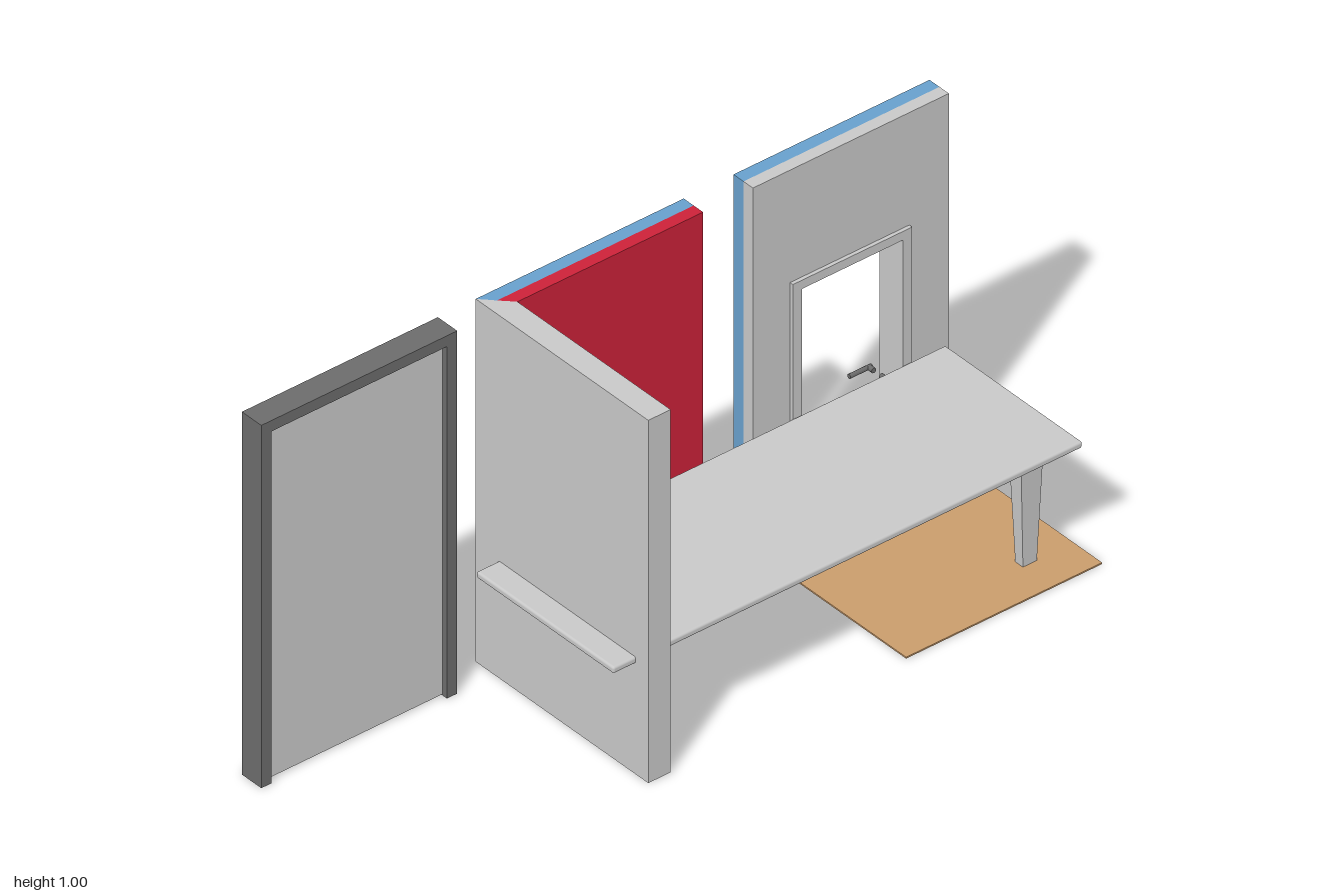
import * as THREE from 'three';
import { RoundedBoxGeometry } from 'three/addons/geometries/RoundedBoxGeometry.js';

const mat = (name, color) => {
  const m = new THREE.MeshStandardMaterial({ color });
  m.name = name;
  return m;
};

export function createModel() {
  const grey = mat('light grey', 0xc8c8c8);
  const dark = mat('dark grey', 0x6c6c6c);
  const red = mat('red paint', 0xcc2239);
  const blue = mat('blue paint', 0x68a0cc);
  const tan = mat('wood floor', 0xc99c6c);

  const model = new THREE.Group();
  const group = (name) => {
    const g = new THREE.Group();
    g.name = name;
    model.add(g);
    return g;
  };
  const add = (parent, name, geometry, material) => {
    const m = new THREE.Mesh(geometry, material);
    m.name = name;
    parent.add(m);
    return m;
  };
  // Box given by its limits on each axis
  const box = (parent, name, material, [x0, x1], [y0, y1], [z0, z1]) => {
    const g = new THREE.BoxGeometry(x1 - x0, y1 - y0, z1 - z0);
    g.translate((x0 + x1) / 2, (y0 + y1) / 2, (z0 + z1) / 2);
    return add(parent, name, g, material);
  };
  const polygon = (points) => new THREE.Shape(points.map(([x, y]) => new THREE.Vector2(x, y)));
  // Full-height wall from a plan outline of [x, z] points
  const planWall = (parent, name, material, points) => {
    const g = new THREE.ExtrudeGeometry(polygon(points.map(([x, z]) => [x, -z])), { depth: 1, bevelEnabled: false });
    g.rotateX(-Math.PI / 2);
    return add(parent, name, g, material);
  };
  // Upright plate with a doorway open at the bottom
  const archPlate = (parent, name, material, outer, inner, [z0, z1]) => {
    const [ox0, ox1, oy] = outer, [ix0, ix1, iy] = inner;
    const s = polygon([[ox0, 0], [ix0, 0], [ix0, iy], [ix1, iy], [ix1, 0], [ox1, 0], [ox1, oy], [ox0, oy]]);
    const g = new THREE.ExtrudeGeometry(s, { depth: z1 - z0, bevelEnabled: false });
    g.translate(0, 0, z0);
    return add(parent, name, g, material);
  };

  const BACK = -0.30, MID = -0.265, FRONT = -0.232;

  // Framed panel
  const panel = group('framedPanel');
  archPlate(panel, 'panelFrame', dark, [-1, -0.43, 1], [-0.97, -0.46, 0.97], [BACK, FRONT]);
  box(panel, 'panelLeaf', grey, [-0.972, -0.458], [0.004, 0.972], [-0.286, -0.247]);

  // Corner of two walls joined by a mitre
  const corner = group('cornerWalls');
  planWall(corner, 'sideWall', grey, [[-0.32, BACK], [-0.255, FRONT], [-0.255, 0.306], [-0.32, 0.306]]);
  planWall(corner, 'backWallOuter', blue, [[-0.32, BACK], [0.285, BACK], [0.285, MID], [-0.287, MID]]);
  planWall(corner, 'backWallInner', red, [[-0.287, MID], [0.285, MID], [0.285, FRONT], [-0.255, FRONT]]);

  // Wall with a doorway
  const doorWall = group('doorWall');
  archPlate(doorWall, 'doorWallOuter', blue, [0.43, 1, 1], [0.554, 0.868, 0.675], [BACK, MID]);
  archPlate(doorWall, 'doorWallInner', grey, [0.43, 1, 1], [0.554, 0.868, 0.675], [MID, FRONT]);
  archPlate(doorWall, 'doorFrame', grey, [0.538, 0.885, 0.69], [0.564, 0.859, 0.666], [-0.306, -0.222]);

  // Lever handles, one on each side of the doorway
  for (const side of [-1, 1]) {
    const z = MID + side * 0.031;
    const lever = add(doorWall, 'doorHandle', new THREE.CylinderGeometry(0.006, 0.006, 0.065, 10), dark);
    lever.rotation.z = Math.PI / 2;
    lever.position.set(0.795, 0.293, z);
    const stem = add(doorWall, 'handleStem', new THREE.CylinderGeometry(0.007, 0.007, 0.02, 10), dark);
    stem.rotation.x = Math.PI / 2;
    stem.position.set(0.82, 0.293, z - side * 0.008);
  }

  // Floor: wood above, grey below
  const floor = group('floor');
  box(floor, 'floorSlab', [tan, tan, tan, grey, tan, tan], [0.43, 1], [0, 0.004], [FRONT, 0.306]);

  // Table
  const table = group('table');
  const cx = 0.2975, cz = 0.021;
  const top = add(table, 'tableTop', new RoundedBoxGeometry(1.365, 0.018, 0.482, 3, 0.006), grey);
  top.position.set(cx, 0.314, cz);

  for (const sx of [-1, 1]) {
    for (const sz of [-1, 1]) {
      // Leg narrows towards the foot
      const g = new THREE.BoxGeometry(0.065, 0.306, 0.043);
      const p = g.attributes.position;
      for (let i = 0; i < p.count; i++) {
        if (p.getY(i) < 0) p.setXYZ(i, p.getX(i) * 0.62, p.getY(i), p.getZ(i) * 0.62);
      }
      g.computeVertexNormals();
      const leg = add(table, 'tableLeg', g, grey);
      leg.position.set(cx + sx * 0.575, 0.154, cz + sz * 0.172);
    }
    box(table, 'endApron', grey, [cx + sx * 0.575 - 0.01, cx + sx * 0.575 + 0.01], [0.257, 0.306], [cz - 0.155, cz + 0.155]);
  }
  for (const sz of [-1, 1]) {
    const z = cz + sz * 0.172;
    box(table, 'longApron', grey, [cx - 0.55, cx + 0.55], [0.257, 0.306], [z - 0.01, z + 0.01]);
  }

  return model;
}
